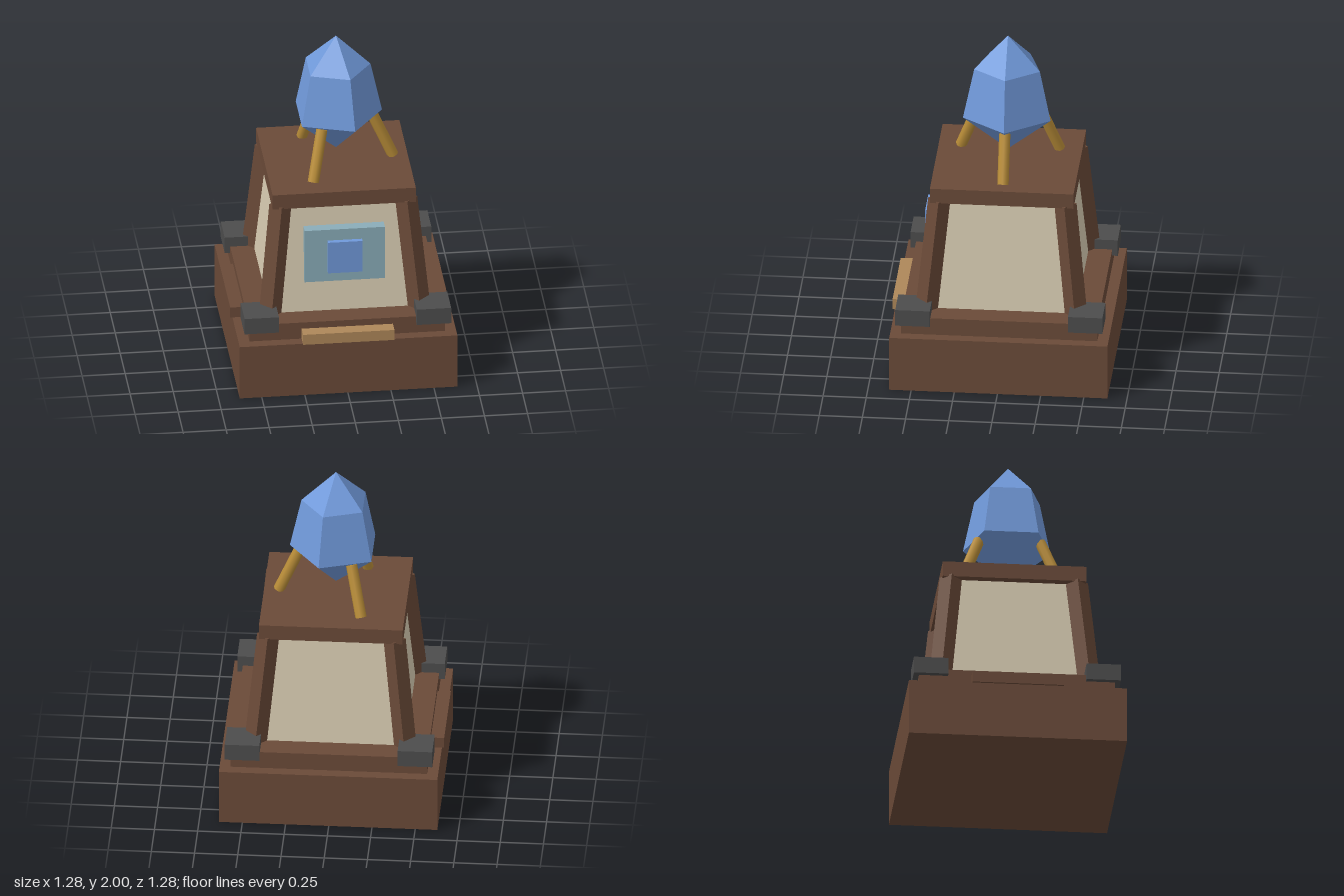
import * as THREE from 'three';

const material = (name, color) => {
  const m = new THREE.MeshStandardMaterial({ color });
  m.name = name;
  return m;
};

export function createModel() {
  const wood = material('dark wood', 0x6a4a38);
  const tan = material('tan wood', 0xae8759);
  const stone = material('grey stone', 0x4c4c4c);
  const plaster = material('cream plaster', 0xd6cab0);
  const teal = material('pale teal', 0x8aadb9);
  const blue = material('crystal blue', 0x7099da);
  const brass = material('brass', 0xb98d38);

  const model = new THREE.Group();
  model.name = 'crystalPedestal';
  model.position.set(0.004, 0, -0.005);

  const add = (name, geometry, mat) => {
    const mesh = new THREE.Mesh(geometry, mat);
    mesh.name = name;
    model.add(mesh);
    return mesh;
  };
  const faceted = (geometry) => {
    const g = geometry.toNonIndexed();
    g.computeVertexNormals();
    return g;
  };
  // Box given by its centre in x and z, and its bottom and top
  const box = (name, mat, w, d, y0, y1, x = 0, z = 0) => {
    add(name, new THREE.BoxGeometry(w, y1 - y0, d), mat).position.set(x, (y0 + y1) / 2, z);
  };
  // Straight bar between two points
  const bar = (name, mat, from, to, radius, sides, flat) => {
    const axis = to.clone().sub(from);
    let g = new THREE.CylinderGeometry(radius, radius, axis.length(), sides);
    if (flat) g = faceted(g);
    const mesh = add(name, g, mat);
    mesh.position.copy(from).add(to).multiplyScalar(0.5);
    mesh.quaternion.setFromUnitVectors(new THREE.Vector3(0, 1, 0), axis.normalize());
  };

  // Stepped base and the two ledges on it
  box('base', wood, 1.264, 1.264, 0, 0.335);
  box('step', wood, 1.136, 1.136, 0.335, 0.44);
  box('frontLedge', tan, 0.53, 0.16, 0.335, 0.4, 0, 0.565);
  box('sideLedge', wood, 0.16, 0.53, 0.335, 0.4, -0.565, 0);

  // Tapered body
  const bodyHeight = 0.67;
  const body = new THREE.CylinderGeometry(0.366 * Math.SQRT2, 0.432 * Math.SQRT2, bodyHeight, 4);
  body.rotateY(Math.PI / 4);
  add('body', faceted(body), plaster).position.y = 0.44 + bodyHeight / 2;

  // Leaning corner posts and foot blocks
  for (const sx of [-1, 1]) {
    for (const sz of [-1, 1]) {
      bar('cornerPost', wood,
        new THREE.Vector3(0.436 * sx, 0.4, 0.436 * sz),
        new THREE.Vector3(0.365 * sx, 1.112, 0.365 * sz), 0.065, 4, true);
      box('footBlock', stone, 0.2, 0.2, 0.4, 0.5, 0.5 * sx, 0.5 * sz);
    }
  }

  // Roof slab
  box('roofSlab', wood, 0.832, 0.832, 1.108, 1.2);

  // Front window, upright against the sloping wall
  box('windowFrame', teal, 0.466, 0.08, 0.635, 0.97, 0, 0.403);
  box('windowPane', blue, 0.2, 0.04, 0.7, 0.9, 0, 0.451);

  // Three legs holding the crystal
  for (let i = 0; i < 3; i++) {
    const a = (i * Math.PI * 2) / 3;
    const at = (r, y) => new THREE.Vector3(r * Math.cos(a), y, r * Math.sin(a));
    bar('crystalLeg', brass, at(0.33, 1.203), at(0.205, 1.487), 0.033, 8, false);
  }

  // Five-sided crystal
  const profile = [[0, 1.27], [0.267, 1.5], [0.2, 1.805], [0, 2]]
    .map(([r, y]) => new THREE.Vector2(r, y));
  const crystal = new THREE.LatheGeometry(profile, 5);
  crystal.rotateY(Math.PI / 2);
  add('crystal', faceted(crystal), blue);

  const group = new THREE.Group();
  group.add(model);
  return group;
}
